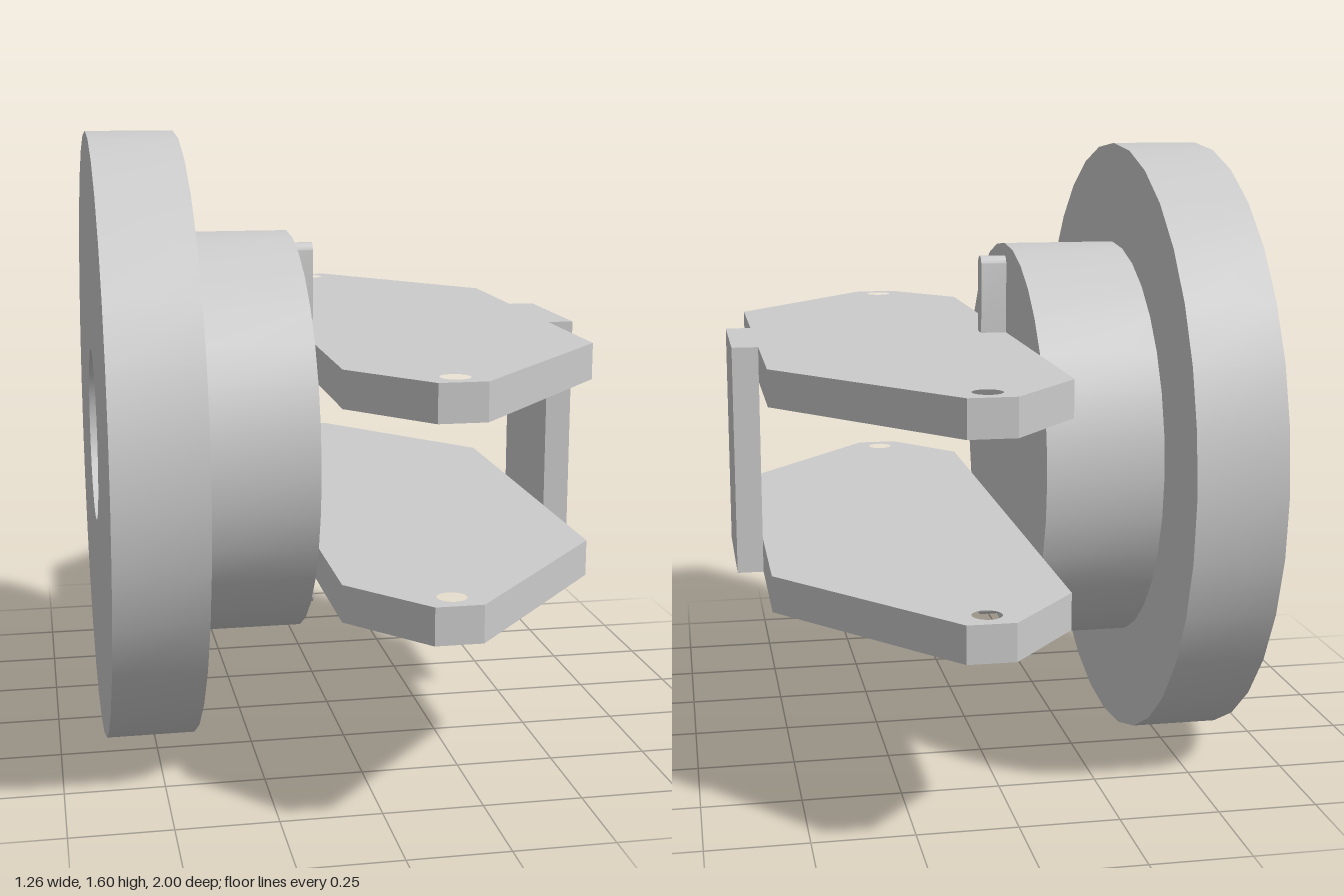
import * as THREE from 'three';
import { toCreasedNormals } from 'three/addons/utils/BufferGeometryUtils.js';

const CENTRE_Y = 0.798;

export function createModel() {
  const model = new THREE.Group();
  const material = new THREE.MeshStandardMaterial({ color: 0xcccccc });

  const add = (name, geometry, x = 0, y = 0, z = 0) => {
    const mesh = new THREE.Mesh(toCreasedNormals(geometry, 0.5), material);
    mesh.name = name;
    mesh.position.set(x, y, z);
    model.add(mesh);
  };

  // Flange and hub turned about the x axis, with a blind bore in the back
  const profile = [
    [0, -0.405], [0.228, -0.405], [0.228, -0.633], [0.798, -0.633],
    [0.798, -0.407], [0.535, -0.407], [0.535, -0.11], [0, -0.11],
  ].map(([r, x]) => new THREE.Vector2(r, x));
  add('flangeAndHub', new THREE.LatheGeometry(profile, 32).rotateZ(-Math.PI / 2), 0, CENTRE_Y, 0);

  // Clevis plates with tapered ends and a pin hole at each tip
  const half = [[-0.11, 0.8], [0.06, 1], [0.173, 1], [0.564, 0.54]];
  const outline = [...half, ...half.map(([x, z]) => [x, -z]).reverse()];
  const plate = new THREE.Shape(outline.map(([x, z]) => new THREE.Vector2(x, z)));
  for (const side of [-1, 1]) {
    plate.holes.push(new THREE.Path().absarc(0.115, side * 0.933, 0.035, 0, Math.PI * 2, true));
  }
  const thickness = 0.09;
  for (const [name, top] of [['upperPlate', 1.095], ['lowerPlate', 0.594]]) {
    const geometry = new THREE.ExtrudeGeometry(plate, { depth: thickness, bevelEnabled: false, curveSegments: 12 });
    add(name, geometry.rotateX(Math.PI / 2), 0, top, 0);
  }

  // Web joining the two plates at the outer edge
  add('web', new THREE.BoxGeometry(0.067, 0.591, 0.364), 0.5975, 0.7995, 0);

  // Round-ended ribs on the hub face, above and below the plates
  const r = 0.024, inner = 0.29, outer = 0.5;
  const rib = new THREE.Shape();
  rib.moveTo(-r, inner);
  rib.lineTo(r, inner);
  rib.lineTo(r, outer - r);
  rib.absarc(0, outer - r, r, 0, Math.PI, false);
  rib.closePath();
  for (const [name, turn] of [['upperRib', 0], ['lowerRib', Math.PI]]) {
    const geometry = new THREE.ExtrudeGeometry(rib, { depth: 0.07, bevelEnabled: false, curveSegments: 10 });
    add(name, geometry.rotateY(Math.PI / 2).rotateX(turn), -0.112, CENTRE_Y + 0.002, 0);
  }

  return model;
}
